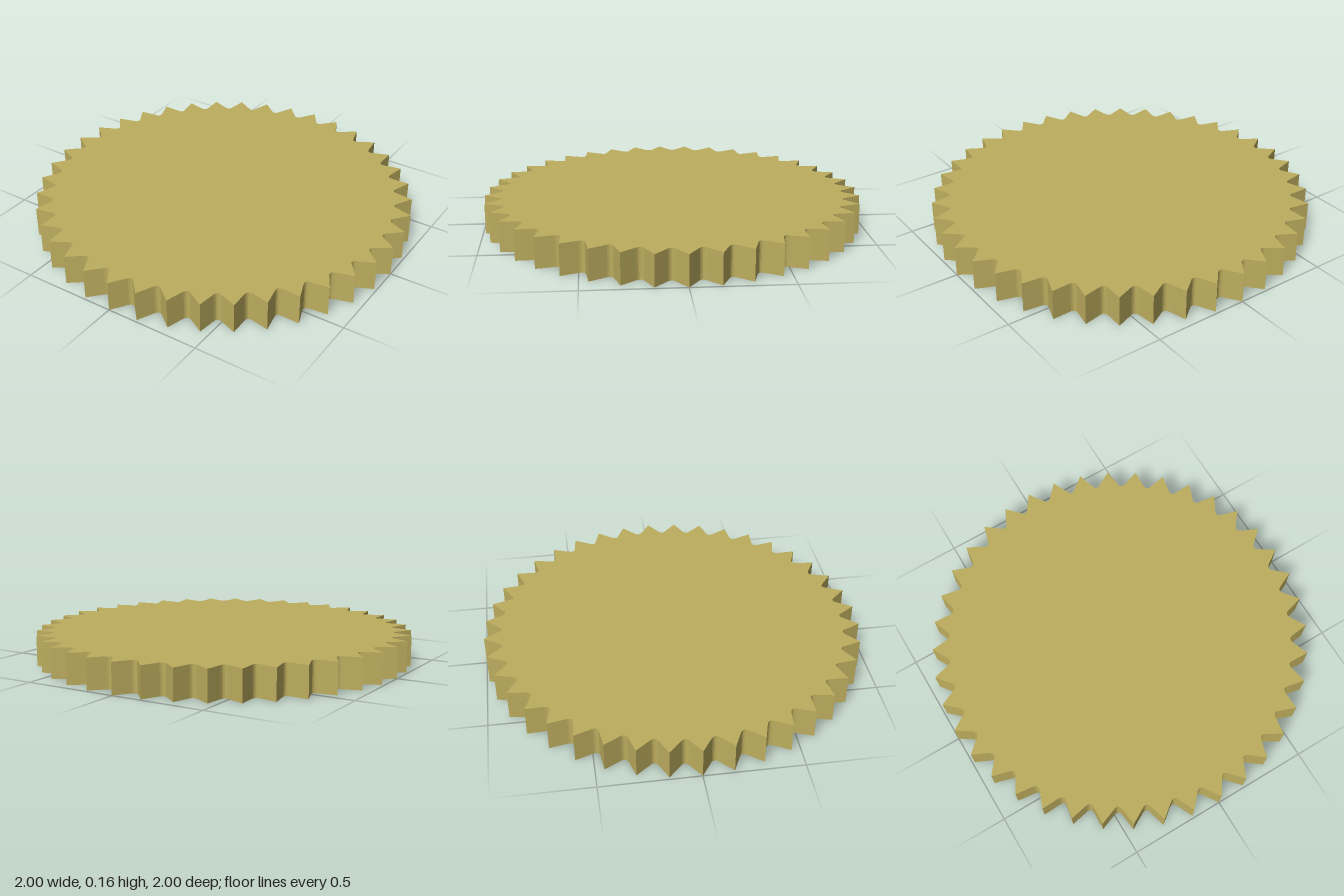
import * as THREE from 'three';

const TEETH = 40, TIP = 1, ROOT = 0.91, HEIGHT = 0.16;

export function createModel() {
  const group = new THREE.Group();
  group.name = 'toothedDisc';
  const brass = new THREE.MeshStandardMaterial({ color: 0xbeae5f });
  brass.name = 'brass';

  // Outline: pointed tips with straight flanks and rounded valleys
  const step = (Math.PI * 2) / TEETH;
  const at = (r, a) => [r * Math.cos(a), r * Math.sin(a)];
  const outline = new THREE.Shape();
  outline.moveTo(TIP, 0);
  for (let i = 0; i < TEETH; i++) {
    const a = i * step;
    outline.lineTo(...at(0.927, a + step * 0.34));
    outline.quadraticCurveTo(...at(0.893, a + step * 0.5), ...at(0.927, a + step * 0.66));
    if (i < TEETH - 1) outline.lineTo(...at(TIP, a + step));
  }
  outline.closePath();

  // Solid disc lying flat on the ground
  const geometry = new THREE.ExtrudeGeometry(outline, { depth: HEIGHT, bevelEnabled: false, curveSegments: 6 });
  geometry.rotateX(-Math.PI / 2);
  const disc = new THREE.Mesh(geometry, brass);
  disc.name = 'disc';
  group.add(disc);
  return group;
}
